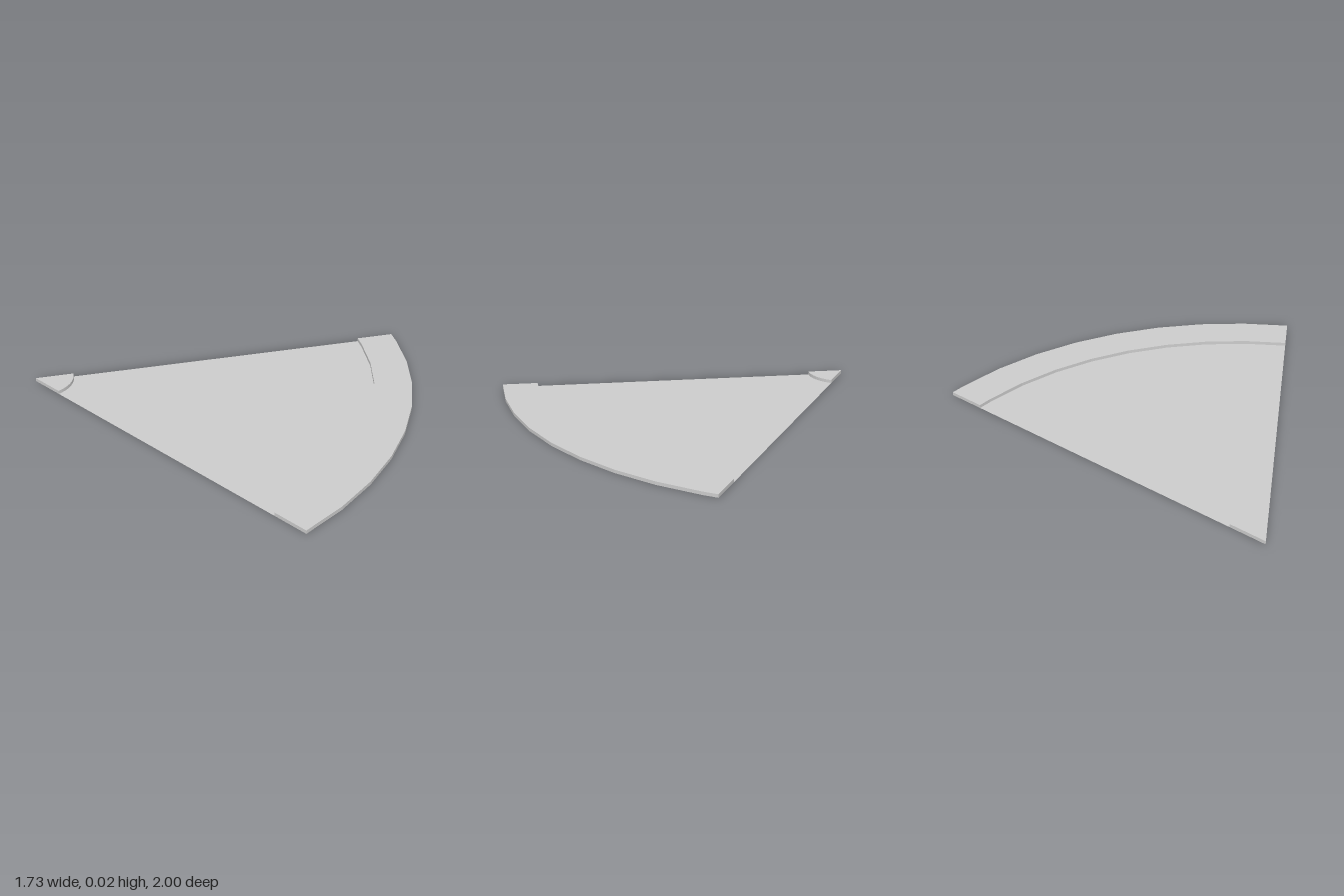
import * as THREE from 'three';

const STEP = Math.PI / 25; // facet angle of the arcs
const SWEEP = Math.PI / 3; // 60 degree wedge
const HEIGHT = 0.018;
const APEX = { x: -0.866, z: -1 };

// Points of a faceted arc about the apex, in shape coordinates (y becomes z)
function arc(radius) {
  if (radius === 0) return [new THREE.Vector2(0, 0)];
  const angles = [];
  for (let a = 0; a < SWEEP; a += STEP) angles.push(a);
  angles.push(SWEEP);
  return angles.map((a) => new THREE.Vector2(radius * Math.sin(a), radius * Math.cos(a)));
}

function ringSector(inner, outer) {
  return new THREE.Shape([...arc(outer), ...arc(inner).reverse()]);
}

export function createModel() {
  const model = new THREE.Group();
  model.name = 'wedgePlate';
  const material = new THREE.MeshStandardMaterial({
    color: 0xcccccc, flatShading: true, side: THREE.DoubleSide,
  });

  // Lay a shape flat: shape y runs along +z, extrusion ends at the top
  function add(name, geometry, top) {
    geometry.rotateX(Math.PI / 2);
    geometry.translate(APEX.x, top, APEX.z);
    const mesh = new THREE.Mesh(geometry, material);
    mesh.name = name;
    model.add(mesh);
  }

  const raised = (inner, outer) =>
    new THREE.ExtrudeGeometry(ringSector(inner, outer), { depth: HEIGHT, bevelEnabled: false });

  // Thin floor between the raised tip and the raised outer rim
  add('floor', new THREE.ShapeGeometry(ringSector(0.2, 1.8)), 0);
  add('raisedTip', raised(0, 0.2), HEIGHT);
  add('raisedRim', raised(1.8, 2), HEIGHT);
  return model;
}
